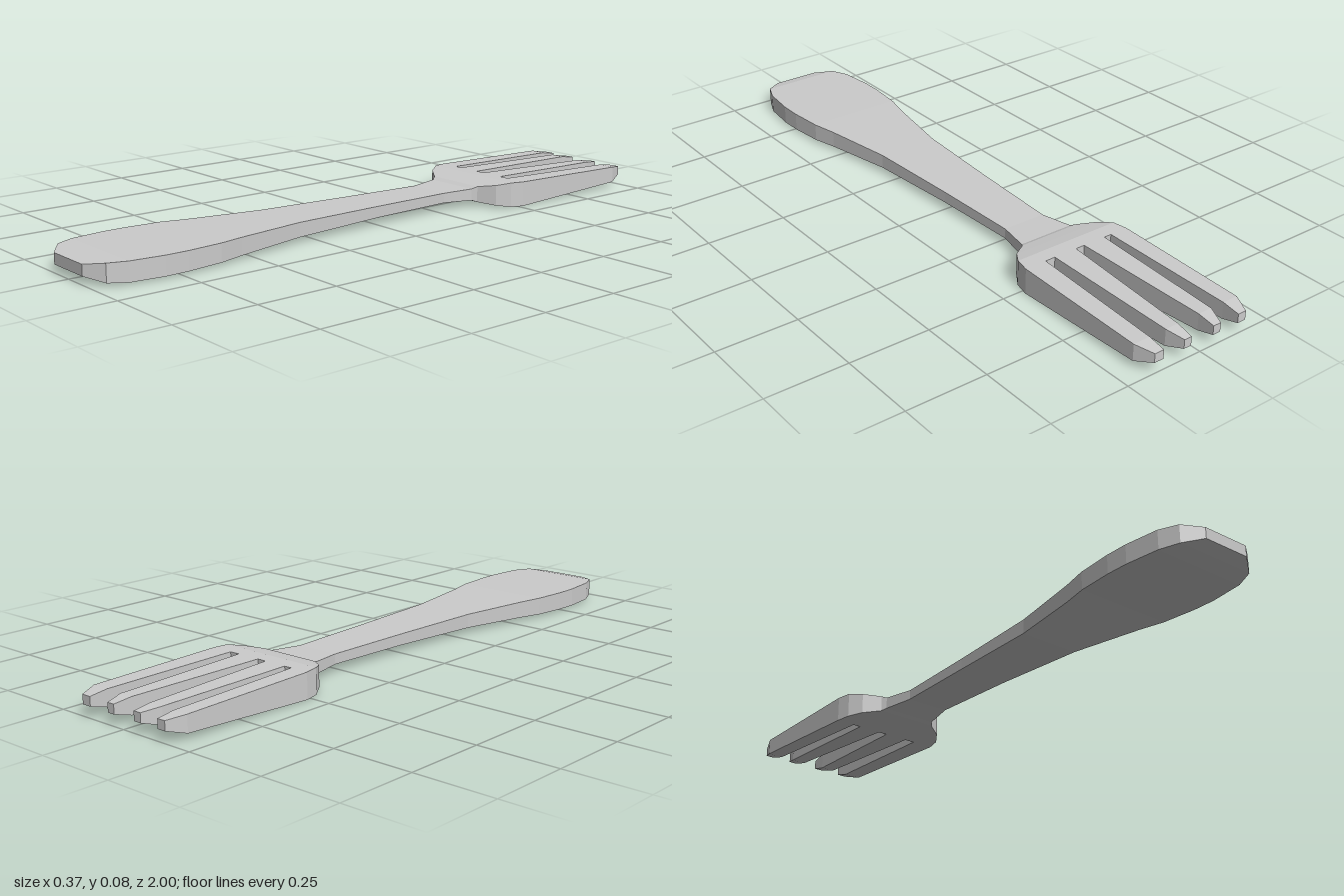
import * as THREE from 'three';

// Lofts rectangular cross-sections [z, xMin, xMax, yMin, yMax], ordered from front (+z) to back.
function loft(sections, frontCap) {
  const pos = [];
  const rings = sections.map(([z, x0, x1, y0, y1]) => [
    [x0, y0, z], [x1, y0, z], [x1, y1, z], [x0, y1, z],
  ]);
  const quad = (a, b, c, d) => pos.push(...a, ...b, ...c, ...a, ...c, ...d);
  for (let s = 0; s < rings.length - 1; s++) {
    const a = rings[s], b = rings[s + 1];
    for (let i = 0; i < 4; i++) {
      const j = (i + 1) % 4;
      quad(a[i], b[i], b[j], a[j]);
    }
  }
  if (frontCap) quad(...rings[0]);
  quad(...rings[rings.length - 1].slice().reverse());
  const geometry = new THREE.BufferGeometry();
  geometry.setAttribute('position', new THREE.Float32BufferAttribute(pos, 3));
  geometry.computeVertexNormals();
  return geometry;
}

export function createModel() {
  const group = new THREE.Group();
  const material = new THREE.MeshStandardMaterial({ color: 0xcccccc, flatShading: true });
  const add = (name, sections, frontCap) => {
    const mesh = new THREE.Mesh(loft(sections, frontCap), material);
    mesh.name = name;
    group.add(mesh);
  };
  // Symmetric section: z, half width, bottom, top
  const sym = ([z, w, y0, y1]) => [z, -w, w, y0, y1];

  // Handle: rounded wide end narrowing to the neck
  add('handle', [
    [1.0, 0.075, 0.024, 0.057],
    [0.96, 0.128, 0.01, 0.064],
    [0.905, 0.151, 0.007, 0.065],
    [0.8, 0.163, 0.007, 0.065],
    [0.73, 0.163, 0.008, 0.065],
    [0.62, 0.154, 0.01, 0.065],
    [0.54, 0.136, 0.012, 0.064],
    [0.31, 0.098, 0.018, 0.062],
    [0.0, 0.081, 0.024, 0.059],
    [-0.28, 0.07, 0.025, 0.056],
    [-0.38, 0.09, 0.022, 0.059],
  ].map(sym), true);

  // Head: flares out from the neck to the tine roots
  add('head', [
    [-0.38, 0.09, 0.022, 0.059],
    [-0.395, 0.1, 0.016, 0.066],
    [-0.43, 0.149, 0.008, 0.073],
    [-0.47, 0.176, 0.002, 0.08],
    [-0.515, 0.185, 0.0, 0.079],
  ].map(sym), false);

  // Tines: x range at root, shoulder and tip
  const tines = [
    [-0.185, -0.125, -0.185, -0.135, -0.163, -0.135],
    [-0.1, -0.025, -0.09, -0.044, -0.07, -0.044],
    [0.005, 0.082, 0.03, 0.074, 0.035, 0.06],
    [0.115, 0.185, 0.13, 0.185, 0.132, 0.163],
  ];
  tines.forEach(([r0, r1, s0, s1, t0, t1], i) => add(`tine${i + 1}`, [
    [-0.515, r0, r1, 0.0, 0.079],
    [-0.945, s0, s1, 0.018, 0.069],
    [-1.0, t0, t1, 0.033, 0.061],
  ], false));

  return group;
}
